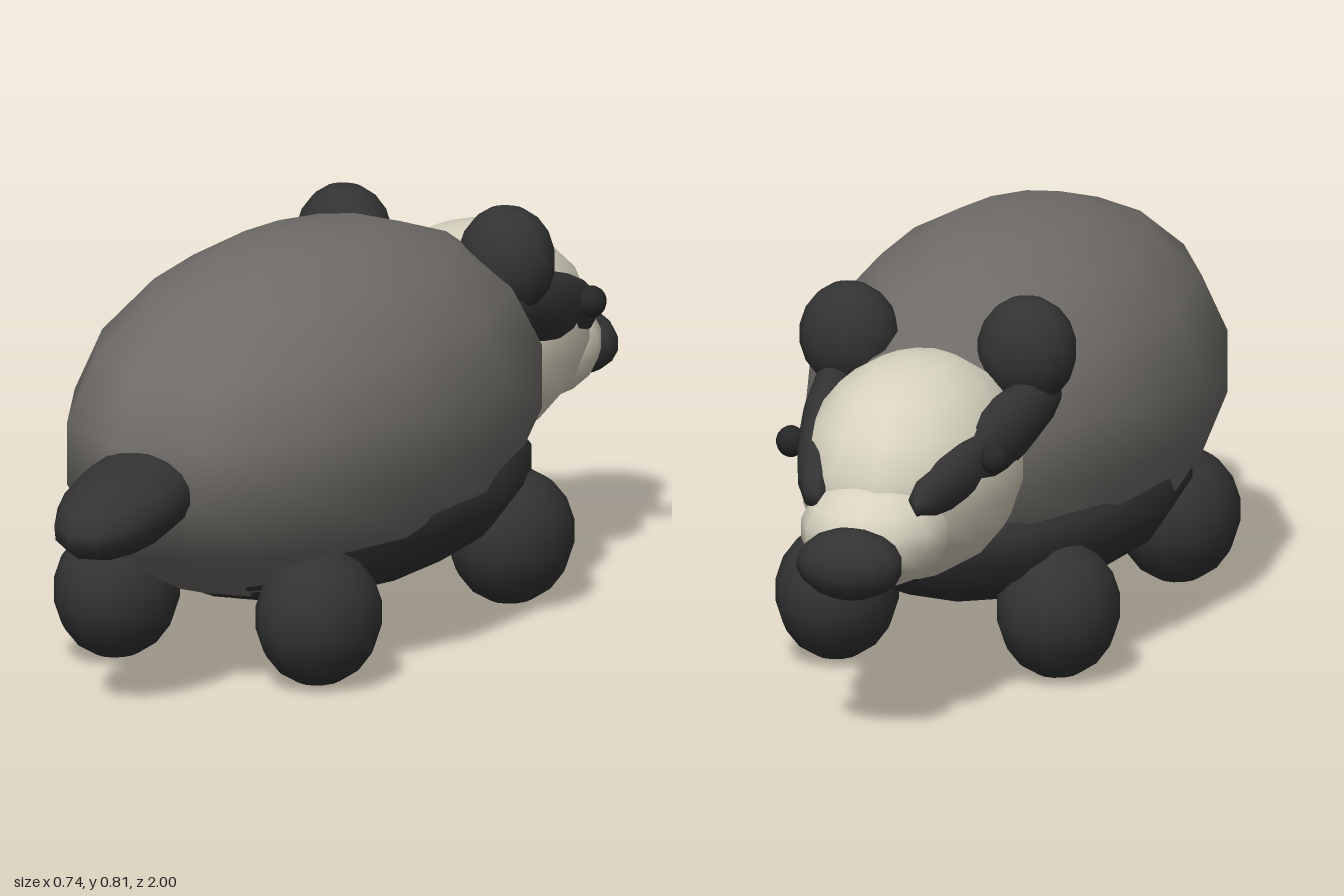
import * as THREE from 'three';

const material = (name, color) => {
  const m = new THREE.MeshStandardMaterial({ color });
  m.name = name;
  return m;
};

export function createModel() {
  const grey = material('grey fur', 0x6f6c68);
  const dark = material('dark fur', 0x333333);
  const cream = material('cream fur', 0xd8d3c0);
  const black = material('eye black', 0x262626);

  const model = new THREE.Group();
  model.name = 'badger';

  // Every part is a coarse, smooth-shaded ball stretched to an ellipsoid
  const ball = new THREE.SphereGeometry(1, 13, 9);
  function blob(name, mat, position, radii, rotation = [0, 0, 0]) {
    const mesh = new THREE.Mesh(ball, mat);
    mesh.name = name;
    mesh.position.set(...position);
    mesh.scale.set(...radii);
    mesh.rotation.set(rotation[0], rotation[1], rotation[2], 'YXZ');
    model.add(mesh);
    return mesh;
  }

  // Trunk
  blob('body', grey, [0.005, 0.453, 0.11], [0.381, 0.356, 0.675]);
  blob('belly', dark, [0.005, 0.28, 0.04], [0.342, 0.187, 0.58]);
  blob('tail', dark, [0.003, 0.413, 0.79], [0.114, 0.085, 0.217], [0.2, 0, 0]);

  // Head
  blob('head', cream, [0.003, 0.462, -0.53], [0.213, 0.218, 0.315]);
  blob('snout', cream, [0.003, 0.39, -0.76], [0.147, 0.111, 0.162]);
  blob('nose', dark, [0.003, 0.362, -0.925], [0.107, 0.07, 0.077]);

  // Paired parts
  for (const [side, s] of [['left', 1], ['right', -1]]) {
    const x = (d) => 0.004 + s * d;
    blob(`${side} face stripe`, dark, [x(0.163), 0.522, -0.57], [0.052, 0.072, 0.29], [-0.235, s * 0.225, 0]);
    blob(`${side} eye`, black, [x(0.207), 0.522, -0.655], [0.029, 0.031, 0.03]);
    blob(`${side} ear`, dark, [x(0.181), 0.665, -0.37], [0.099, 0.107, 0.086]);
    blob(`${side} front leg`, dark, [x(0.225), 0.134, -0.31], [0.12, 0.134, 0.139]);
    blob(`${side} back leg`, dark, [x(0.225), 0.134, 0.44], [0.12, 0.134, 0.139]);
  }

  return model;
}
